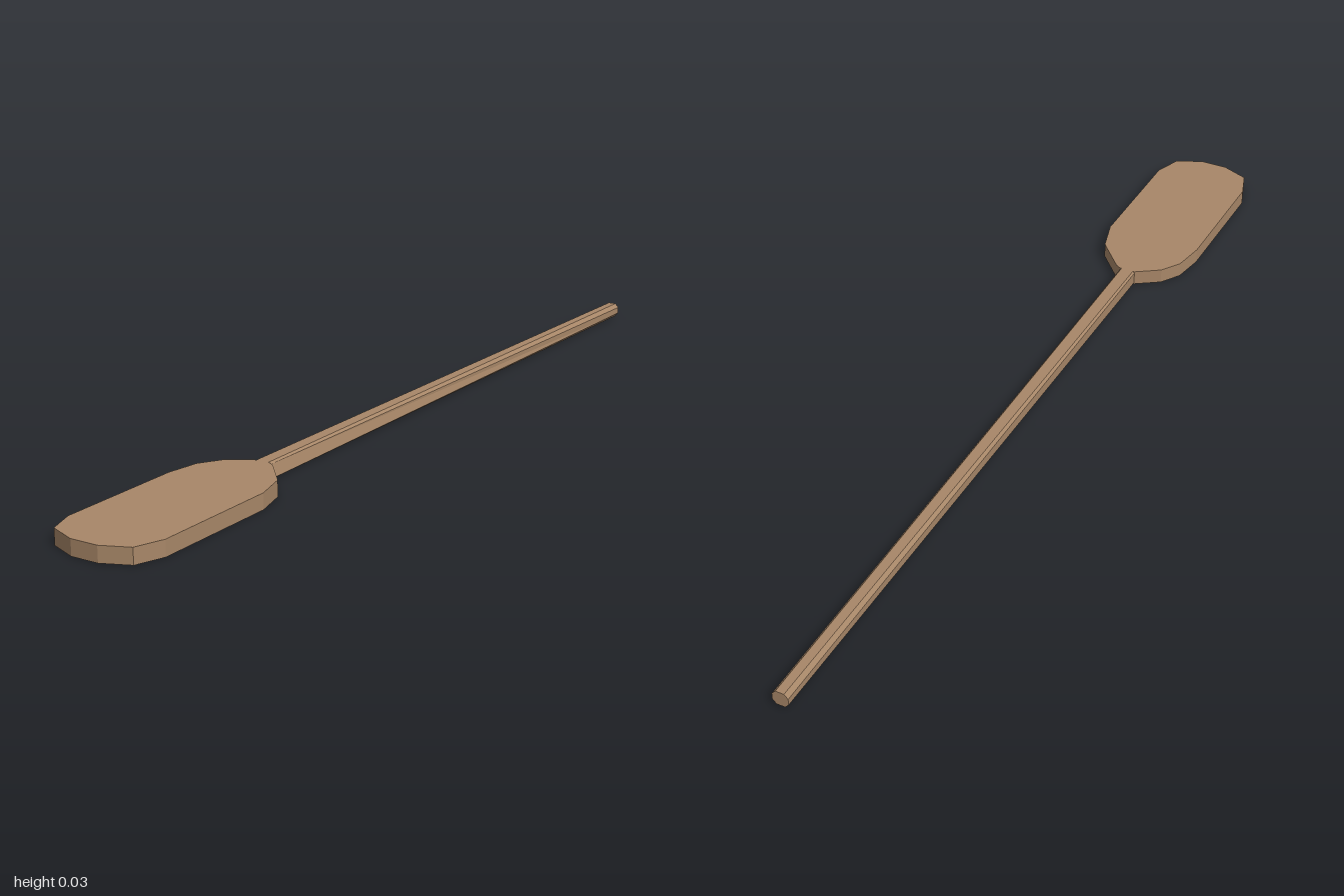
import * as THREE from 'three';

export function createModel() {
  const group = new THREE.Group();
  const wood = new THREE.MeshStandardMaterial({ color: 0xa88768, flatShading: true });
  wood.name = 'wood';
  const H = 0.033;

  // Blade: faceted outline (x, z) extruded upward
  const outline = [
    [-0.03, 1], [0.03, 1], [0.088, 0.975], [0.11, 0.915], [0.11, 0.63], [0.09, 0.557],
    [0.03, 0.49], [0.018, 0.483], [-0.018, 0.483], [-0.07, 0.517], [-0.098, 0.56],
    [-0.11, 0.63], [-0.11, 0.915], [-0.09, 0.975],
  ];
  const shape = new THREE.Shape(outline.map(([x, z]) => new THREE.Vector2(x, -z)));
  const bladeGeo = new THREE.ExtrudeGeometry(shape, { depth: H, bevelEnabled: false });
  bladeGeo.rotateX(-Math.PI / 2);
  const blade = new THREE.Mesh(bladeGeo, wood);
  blade.name = 'blade';
  group.add(blade);

  // Handle: octagonal at the grip end, squarer and wider toward the blade
  const grip = [
    [0.009, 0.033], [-0.009, 0.033], [-0.017, 0.024], [-0.017, 0.010],
    [-0.009, 0.001], [0.009, 0.001], [0.017, 0.010], [0.017, 0.024],
  ];
  const neck = [
    [0.014, 0.033], [-0.014, 0.033], [-0.018, 0.029], [-0.018, 0.003],
    [-0.015, 0.001], [0.022, 0.001], [0.025, 0.003], [0.018, 0.029],
  ];
  const n = grip.length;
  const pos = [];
  const tri = (...pts) => pts.forEach((p) => pos.push(...p));
  const a = grip.map(([x, y]) => [x, y, -1]);
  const b = neck.map(([x, y]) => [x, y, 0.5]);
  for (let i = 0; i < n; i++) {
    const j = (i + 1) % n;
    tri(a[i], b[j], b[i]);
    tri(a[i], a[j], b[j]);
  }
  // End caps
  for (let i = 1; i < n - 1; i++) {
    tri(a[0], a[i + 1], a[i]);
    tri(b[0], b[i], b[i + 1]);
  }
  const handleGeo = new THREE.BufferGeometry();
  handleGeo.setAttribute('position', new THREE.Float32BufferAttribute(pos, 3));
  handleGeo.computeVertexNormals();
  const handle = new THREE.Mesh(handleGeo, wood);
  handle.name = 'handle';
  group.add(handle);

  return group;
}
